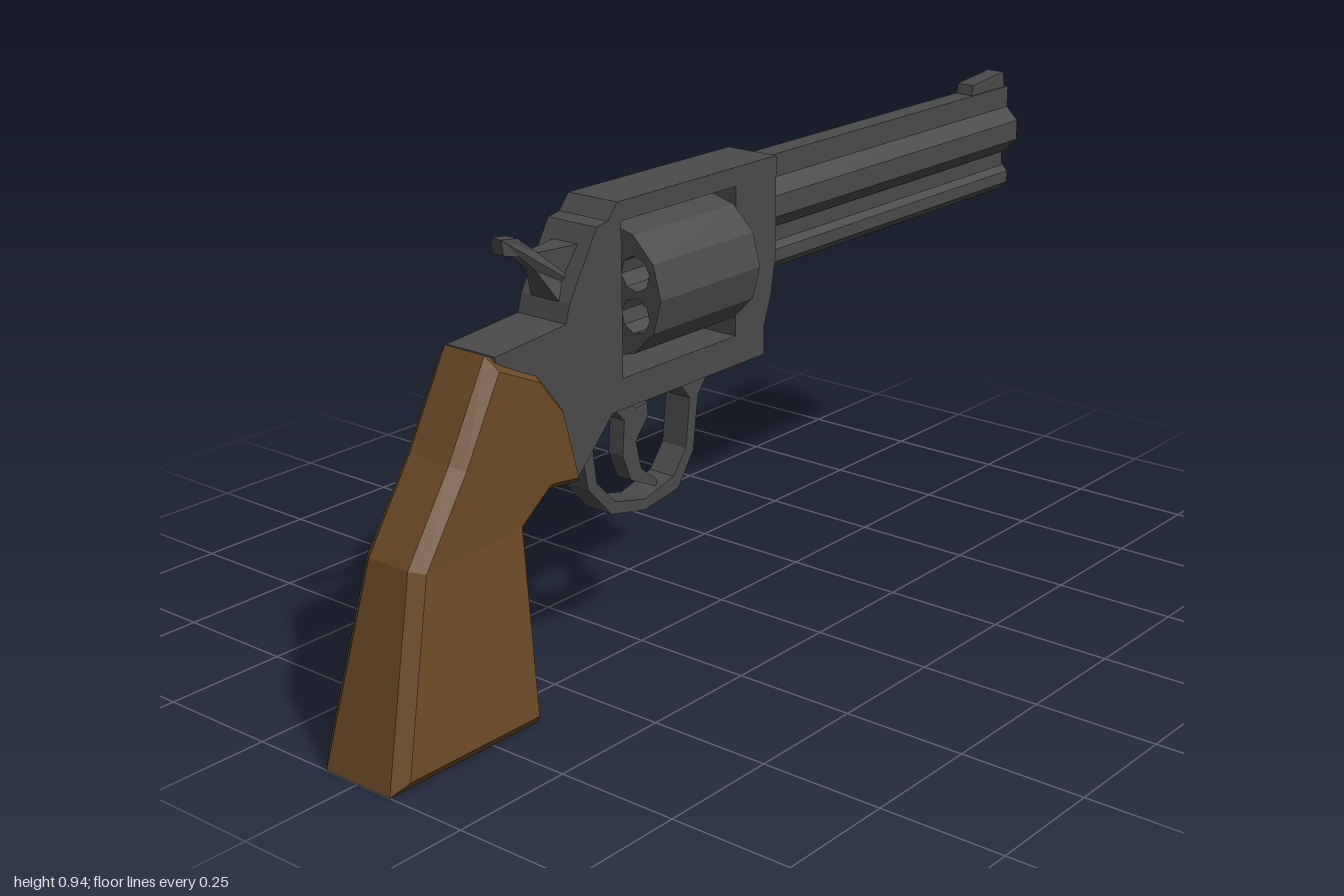
import * as THREE from 'three';

const metal = new THREE.MeshStandardMaterial({ color: 0x4a4a4a, flatShading: true });
const wood = new THREE.MeshStandardMaterial({ color: 0x6b4a26, flatShading: true });

const toShape = (pts) => new THREE.Shape(pts.map(([u, v]) => new THREE.Vector2(u, v)));

// Regular polygon outline around (cx, cy)
function polygon(cx, cy, r, n, start = 0) {
  return Array.from({ length: n }, (_, i) => {
    const a = start + (i / n) * Math.PI * 2;
    return [cx + r * Math.cos(a), cy + r * Math.sin(a)];
  });
}

// Side profile given as [z, y], extruded to a half width in x
function sideProfile(pts, half, holes = []) {
  const shape = toShape(pts);
  shape.holes = holes.map(toShape);
  const geo = new THREE.ExtrudeGeometry(shape, { depth: half * 2, bevelEnabled: false });
  return geo.translate(0, 0, -half).rotateY(-Math.PI / 2);
}

// Faceted turned part along -z, profile given as [radius, distance forward]
function turned(profile, y, sides) {
  const pts = profile.map(([r, d]) => new THREE.Vector2(r, d));
  return new THREE.LatheGeometry(pts, sides, Math.PI / sides).rotateX(-Math.PI / 2).translate(0, y, 0);
}

function box(w, y0, y1, z0, z1) {
  return new THREE.BoxGeometry(w, y1 - y0, z1 - z0).translate(0, (y0 + y1) / 2, (z0 + z1) / 2);
}

// Grip: chamfered slab that flares sideways towards its foot
function gripGeometry() {
  const outer = [[1, 0], [0.63, 0], [0.63, 0.375], [0.565, 0.425], [0.475, 0.415],
    [0.52, 0.575], [0.585, 0.655], [0.705, 0.715], [0.8, 0.54], [0.905, 0.38]];
  const inset = [[0.972, 0.025], [0.65, 0.025], [0.65, 0.387], [0.573, 0.444], [0.5, 0.435],
    [0.537, 0.57], [0.595, 0.642], [0.695, 0.688], [0.782, 0.53], [0.885, 0.375]];
  const n = outer.length;
  const pos = [];
  const idx = [];
  const rings = [[inset, 0.073, 1], [outer, 0.048, 1], [outer, 0.048, -1], [inset, 0.073, -1]];
  for (const [pts, half, side] of rings) {
    for (const [z, y] of pts) {
      const flare = 0.032 * Math.max(0, 1 - y / 0.375);
      pos.push(side * (half + flare), y, z);
    }
  }
  const quad = (a, b, c, d) => idx.push(a, b, c, a, c, d);
  for (let k = 0; k < 3; k++) {
    for (let i = 0; i < n; i++) {
      const j = (i + 1) % n;
      quad(k * n + j, k * n + i, (k + 1) * n + i, (k + 1) * n + j);
    }
  }
  for (const [a, b, c, d] of [[0, 1, 2, 9], [9, 2, 3, 8], [8, 3, 4, 5], [8, 5, 6, 7]]) {
    quad(a, b, c, d);
    quad(3 * n + d, 3 * n + c, 3 * n + b, 3 * n + a);
  }
  const geo = new THREE.BufferGeometry();
  geo.setAttribute('position', new THREE.Float32BufferAttribute(pos, 3));
  geo.setIndex(idx);
  const flat = geo.toNonIndexed();
  flat.computeVertexNormals();
  return flat;
}

// Hammer: wide at the frame, narrowing to a thin thumb spur
function hammerGeometry() {
  const geo = sideProfile([[0.62, 0.895], [0.58, 0.89], [0.53, 0.853], [0.42, 0.853], [0.42, 0.76],
    [0.5, 0.76], [0.535, 0.82], [0.575, 0.855], [0.615, 0.865]], 1);
  const p = geo.attributes.position;
  for (let i = 0; i < p.count; i++) {
    const t = THREE.MathUtils.clamp((p.getZ(i) - 0.5) / 0.03, 0, 1);
    p.setX(i, p.getX(i) * THREE.MathUtils.lerp(0.034, 0.013, t));
  }
  geo.computeVertexNormals();
  return geo;
}

// Twelve-sided drum with six open chambers
function drumGeometry() {
  const shape = toShape(polygon(0, 0, 0.13, 12));
  for (let i = 0; i < 6; i++) {
    const a = Math.PI / 6 + (i * Math.PI) / 3;
    shape.holes.push(toShape(polygon(0.08 * Math.cos(a), 0.08 * Math.sin(a), 0.034, 8, a + Math.PI / 8)));
  }
  return new THREE.ExtrudeGeometry(shape, { depth: 0.29, bevelEnabled: false }).translate(0, 0.74, 0.045);
}

export function createModel() {
  const model = new THREE.Group();
  const add = (name, geo, material = metal) => {
    const mesh = new THREE.Mesh(geo, material);
    mesh.name = name;
    model.add(mesh);
  };

  // Frame with the open window for the drum
  add('frame', sideProfile(
    [[0.37, 0.92], [-0.095, 0.92], [-0.095, 0.72], [-0.08, 0.64], [-0.06, 0.585], [-0.06, 0.525],
      [0.39, 0.525], [0.49, 0.425], [0.535, 0.575], [0.6, 0.645], [0.69, 0.7], [0.69, 0.71],
      [0.51, 0.725], [0.5, 0.76], [0.425, 0.885], [0.395, 0.89]],
    0.059,
    [[[0.36, 0.585], [0.36, 0.883], [0.03, 0.883], [0.03, 0.585]]],
  ));

  // Drum and its axle
  add('drum', drumGeometry());
  add('drumAxle', new THREE.CylinderGeometry(0.037, 0.037, 0.34, 8).rotateX(Math.PI / 2).translate(0, 0.74, 0.195));

  // Barrel with bored muzzle, top rib, web and lower ejector tube
  add('barrel', turned([[0.056, 0.06], [0.056, 0.98], [0.045, 0.98], [0.045, 0.998],
    [0.026, 0.998], [0.026, 0.9], [0, 0.9]], 0.815, 8));
  add('topRib', box(0.048, 0.84, 0.91, -0.98, -0.08));
  add('barrelWeb', box(0.036, 0.7, 0.79, -0.975, -0.08));
  add('ejectorTube', turned([[0.033, 0.06], [0.033, 0.98], [0, 0.98]], 0.706, 8));
  add('frontSight', sideProfile([[-0.84, 0.905], [-0.845, 0.932], [-0.965, 0.944], [-0.972, 0.905]], 0.02));

  // Hammer, trigger and guard
  add('hammer', hammerGeometry());
  add('trigger', sideProfile([[0.36, 0.53], [0.312, 0.48], [0.318, 0.41], [0.295, 0.355], [0.22, 0.32],
    [0.22, 0.335], [0.265, 0.37], [0.28, 0.43], [0.245, 0.47], [0.245, 0.5], [0.28, 0.495], [0.305, 0.53]], 0.018));
  add('triggerGuard', sideProfile([[0.44, 0.5], [0.445, 0.47], [0.43, 0.38], [0.365, 0.31], [0.27, 0.29],
    [0.17, 0.305], [0.125, 0.37], [0.11, 0.48], [0.07, 0.53], [0.175, 0.53], [0.135, 0.48], [0.147, 0.38],
    [0.185, 0.333], [0.27, 0.312], [0.355, 0.333], [0.405, 0.385], [0.415, 0.46], [0.395, 0.53]], 0.03));

  add('grip', gripGeometry(), wood);
  return model;
}
